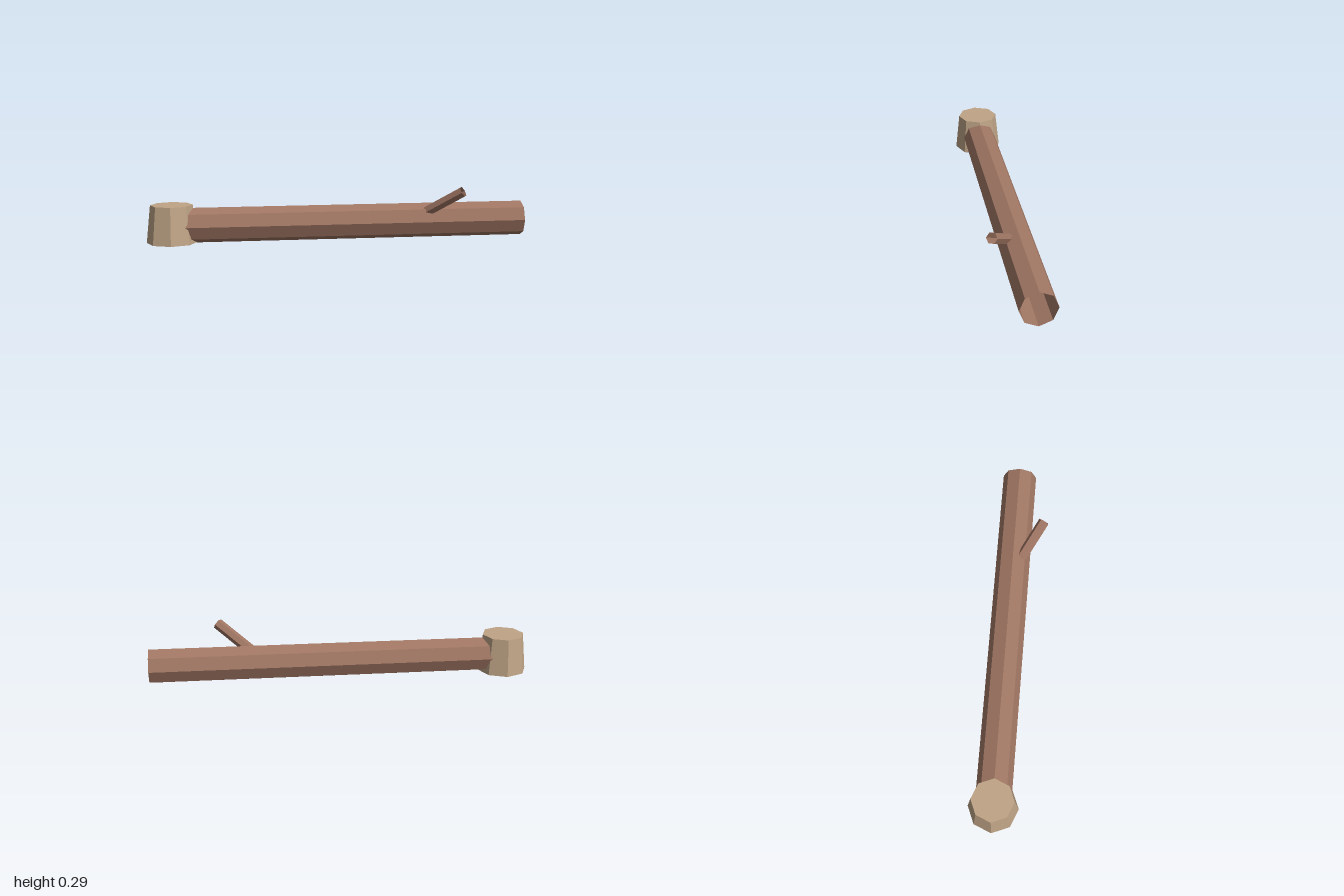
import * as THREE from 'three';

const bark = new THREE.MeshStandardMaterial({ color: 0xa07663, flatShading: true, side: THREE.DoubleSide });
bark.name = 'bark brown';
const cutWood = new THREE.MeshStandardMaterial({ color: 0xc0a587, flatShading: true });
cutWood.name = 'pale wood';

const AXIS_Z = -0.024; // depth of the centre line shared by log and stump

// Open, hollow prism from a to b; one ridge points towards "ridge"
function hollowRod(name, a, b, radius, sides, ridge) {
  const y = b.clone().sub(a);
  const geometry = new THREE.CylinderGeometry(radius, radius, y.length(), sides, 1, true);
  y.normalize();
  const x = y.clone().cross(ridge).normalize();
  const z = x.clone().cross(y);
  geometry.applyMatrix4(new THREE.Matrix4().makeBasis(x, y, z));
  const mesh = new THREE.Mesh(geometry, bark);
  mesh.name = name;
  mesh.position.copy(a).add(b).multiplyScalar(0.5);
  return mesh;
}

export function createModel() {
  const group = new THREE.Group();
  group.name = 'fallenLog';

  // Tapered stump at the left end
  const stump = new THREE.Mesh(new THREE.CylinderGeometry(0.11, 0.1315, 0.198, 8), cutWood);
  stump.name = 'stump';
  stump.position.set(-0.8685, 0.104, AXIS_Z);
  group.add(stump);

  // Hollow trunk, slightly tilted, pushed into the stump
  group.add(hollowRod('trunk',
    new THREE.Vector3(-0.855, 0.0935, AXIS_Z), new THREE.Vector3(1, 0.104, AXIS_Z),
    0.092, 8, new THREE.Vector3(0, 1, 0)));

  // Broken branch growing from the trunk's centre line
  group.add(hollowRod('branch',
    new THREE.Vector3(0.408, 0.106, AXIS_Z), new THREE.Vector3(0.643, 0.27, 0.13),
    0.029, 6, new THREE.Vector3(-0.49, -0.1, 0.86)));

  return group;
}
